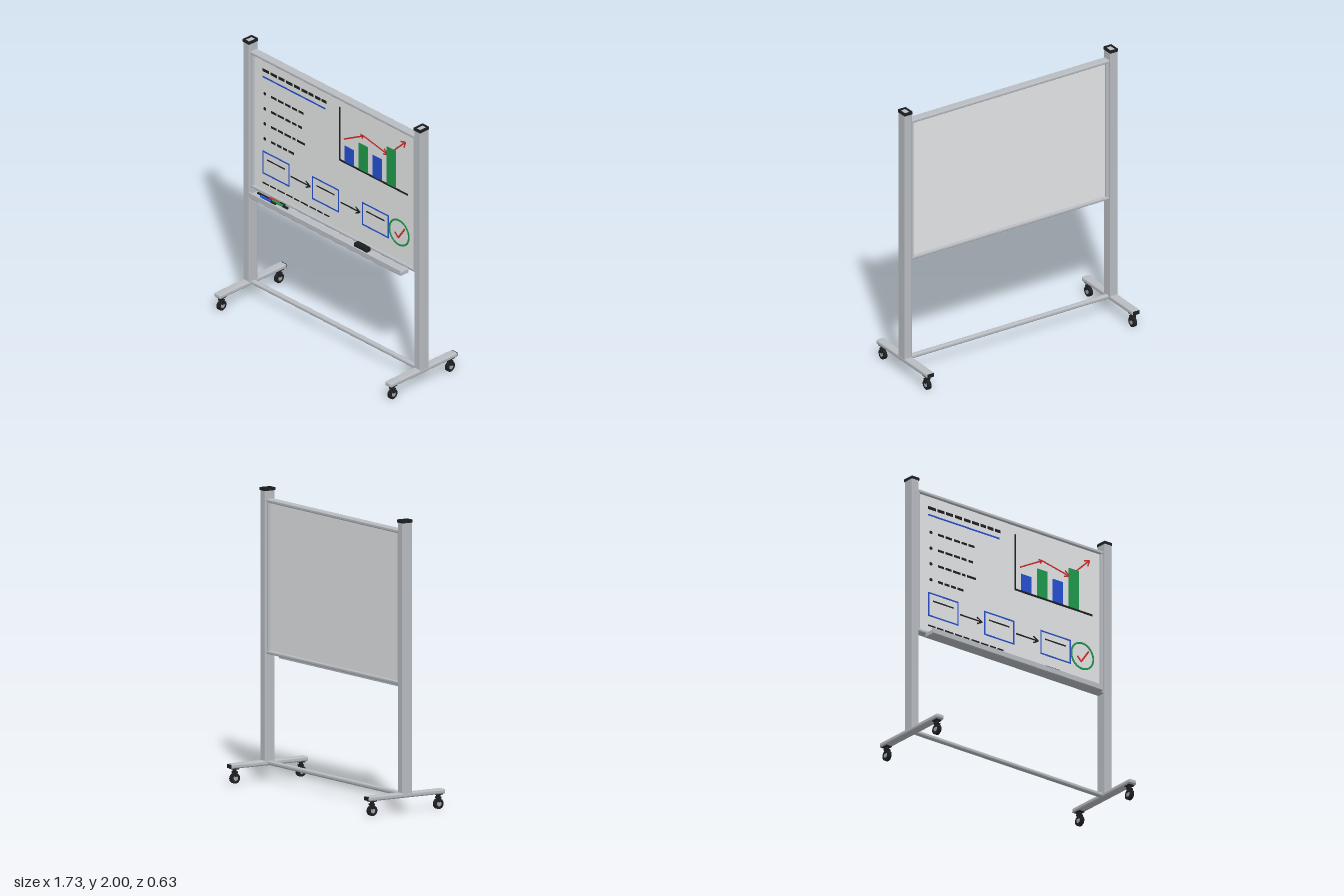
import * as THREE from 'three';
import { RoundedBoxGeometry } from 'three/addons/geometries/RoundedBoxGeometry.js';

const paint = (name, color) => {
  const m = new THREE.MeshStandardMaterial({ color });
  m.name = name;
  return m;
};

export function createModel() {
  const metal = paint('brushed aluminium', 0xb9bdc2);
  const white = paint('board white', 0xeaeced);
  const black = paint('black plastic', 0x1e1f21);
  const blue = paint('blue ink', 0x2450d4);
  const green = paint('green ink', 0x1f9a4b);
  const red = paint('red ink', 0xd42a2a);
  const hubGrey = paint('hub grey', 0xa3a6aa);

  const model = new THREE.Group();
  model.name = 'mobileWhiteboard';

  const group = (name, parent = model) => {
    const g = new THREE.Group();
    g.name = name;
    parent.add(g);
    return g;
  };
  const add = (parent, name, geo, mat, x = 0, y = 0, z = 0) => {
    const m = new THREE.Mesh(geo, mat);
    m.name = name;
    m.position.set(x, y, z);
    parent.add(m);
    return m;
  };
  const box = (w, h, d) => new THREE.BoxGeometry(w, h, d);
  const round = (w, h, d, r) => new RoundedBoxGeometry(w, h, d, 3, r);
  const rod = (r, len, n = 24) => new THREE.CylinderGeometry(r, r, len, n).rotateZ(Math.PI / 2);

  // Hollow cap collar for the top of each post
  const rect = (path, w, h) => {
    path.moveTo(-w, -h);
    path.lineTo(w, -h);
    path.lineTo(w, h);
    path.lineTo(-w, h);
    path.closePath();
    return path;
  };
  const collar = rect(new THREE.Shape(), 0.032, 0.042);
  collar.holes.push(rect(new THREE.Path(), 0.023, 0.033));
  const collarGeo = new THREE.ExtrudeGeometry(collar, { depth: 0.02, bevelEnabled: false }).rotateX(-Math.PI / 2);

  // Posts, feet and casters, one set per side
  for (const s of [-1, 1]) {
    const side = group(s > 0 ? 'leftStand' : 'rightStand');
    side.position.x = s * 0.832;
    add(side, 'post', round(0.06, 1.868, 0.08, 0.006), metal, 0, 1.056, 0);
    add(side, 'postCap', collarGeo, black, 0, 1.98, 0);
    add(side, 'foot', round(0.062, 0.034, 0.624, 0.012), metal, 0, 0.122, 0);
    add(side, 'footEndCap', box(0.05, 0.026, 0.006), black, 0, 0.122, -0.311);
    for (const z of [-0.267, 0.27]) {
      const caster = group('caster', side);
      caster.position.z = z;
      add(caster, 'casterPlate', box(0.044, 0.008, 0.05), black, 0, 0.103, 0);
      add(caster, 'casterStem', new THREE.CylinderGeometry(0.014, 0.014, 0.025, 20), black, 0, 0.09, 0);
      add(caster, 'forkCrown', box(0.04, 0.01, 0.026), black, 0, 0.08, 0);
      for (const a of [-1, 1])
        add(caster, 'forkArm', box(0.005, 0.03, 0.018), black, a * 0.0165, 0.064, 0);
      add(caster, 'wheel', rod(0.036, 0.024, 32), black, 0, 0.037, 0);
      add(caster, 'wheelHub', rod(0.017, 0.03), hubGrey, 0, 0.037, 0);
    }
  }
  add(model, 'crossbar', round(1.62, 0.03, 0.036, 0.012), metal, 0, 0.123, 0);

  // Board panel and its frame
  add(model, 'boardPanel', box(1.58, 1.03, 0.024), white, 0, 1.397, 0);
  const frame = group('boardFrame');
  for (const y of [1.914, 0.88]) add(frame, 'frameRail', round(1.61, 0.024, 0.06, 0.008), metal, 0, y, 0);
  for (const x of [-0.791, 0.791]) add(frame, 'frameStile', round(0.024, 1.05, 0.056, 0.008), metal, x, 1.397, 0);

  // Tray with an upturned lip, profile drawn in z and y
  const tray = new THREE.Shape();
  [[0.028, 0.842], [0.1, 0.842], [0.106, 0.848], [0.106, 0.884], [0.1, 0.887], [0.099, 0.868], [0.028, 0.868]]
    .forEach(([z, y], i) => (i ? tray.lineTo(z, y) : tray.moveTo(z, y)));
  const trayGeo = new THREE.ExtrudeGeometry(tray, { depth: 1.47, bevelEnabled: false })
    .rotateY(-Math.PI / 2).translate(0.735, 0, 0);
  add(model, 'penTray', trayGeo, metal);

  // Eraser and markers on the tray
  add(model, 'eraser', round(0.122, 0.034, 0.04, 0.005), black, 0.323, 0.885, 0.064);
  const pens = [[black, -0.7, 0.055, 0.878], [blue, -0.655, 0.072, 0.878], [red, -0.585, 0.056, 0.888], [green, -0.545, 0.066, 0.886]];
  for (const [ink, x, z, y] of pens) {
    const pen = group('marker');
    pen.position.set(x, y, z);
    add(pen, 'markerBarrel', rod(0.0085, 0.105, 16), ink, 0.0525);
    add(pen, 'markerCap', rod(0.0095, 0.042, 16), black, 0.124);
  }

  // Thin plates drawn on the front of the board
  const art = group('boardDrawing');
  art.position.z = 0.0125;
  const stroke = (name, mat, x1, y1, x2, y2, w = 0.01, d = 0.004) => {
    const len = Math.hypot(x2 - x1, y2 - y1);
    const m = add(art, name, box(len, w, d), mat, (x1 + x2) / 2, (y1 + y2) / 2, 0);
    m.rotation.z = Math.atan2(y2 - y1, x2 - x1);
  };
  const arrow = (name, mat, x1, y1, x2, y2, head = 0.05) => {
    stroke(name, mat, x1, y1, x2, y2);
    const a = Math.atan2(y2 - y1, x2 - x1);
    for (const t of [-0.5, 0.5])
      stroke(name + 'Head', mat, x2, y2, x2 - head * Math.cos(a + t), y2 - head * Math.sin(a + t));
  };
  const dashes = (name, x, y, w, lengths, gap = 0.016) => {
    for (const len of lengths) {
      stroke(name, black, x, y, x + len, y, w);
      x += len + gap;
    }
  };

  // Heading and bullet list
  dashes('headingDash', -0.7, 1.82, 0.021, [0.064, 0.06, 0.058, 0.062, 0.055, 0.056, 0.045, 0.05, 0.045]);
  stroke('headingUnderline', blue, -0.7, 1.767, -0.087, 1.767, 0.011);
  const rows = [[0.052, 0.054, 0.052, 0.045, 0.05], [0.05, 0.058, 0.048, 0.044, 0.038],
    [0.052, 0.048, 0.062, 0.028, 0.076], [0.044, 0.04, 0.04, 0.05]];
  rows.forEach((row, i) => {
    const y = 1.641 - i * 0.117;
    add(art, 'bullet', new THREE.CylinderGeometry(0.012, 0.012, 0.004, 20).rotateX(Math.PI / 2), black, -0.677, y, 0);
    dashes('listDash', -0.617, y, 0.016, row);
  });
  dashes('noteDash', -0.7, 0.945, 0.01, [0.06, 0.055, 0.07, 0.06, 0.05, 0.07, 0.06, 0.05, 0.05], 0.0155);

  // Bar chart with a trend line
  stroke('chartAxisY', black, 0.052, 1.425, 0.052, 1.84, 0.011);
  stroke('chartAxisX', black, 0.047, 1.43, 0.717, 1.43, 0.014);
  [[0.145, 1.56, blue], [0.282, 1.64, green], [0.418, 1.602, blue], [0.556, 1.724, green]].forEach(([x, top, mat]) =>
    add(art, 'chartBar', box(0.088, top - 1.437, 0.008), mat, x, (top + 1.437) / 2, 0));
  const trend = [[0.093, 1.607], [0.283, 1.71], [0.52, 1.664], [0.692, 1.83]];
  for (let i = 0; i < 3; i++) arrow('trendArrow', red, ...trend[i], ...trend[i + 1], i ? 0.048 : 0.03);

  // Flow chart boxes, arrows and the check mark
  for (const x of [-0.569, -0.087, 0.399]) {
    for (const s of [-1, 1]) {
      stroke('flowBoxEdge', blue, x - 0.131, 1.104 + s * 0.084, x + 0.131, 1.104 + s * 0.084);
      stroke('flowBoxEdge', blue, x + s * 0.126, 1.02, x + s * 0.126, 1.188);
    }
    stroke('flowLabel', black, x - 0.088, 1.135, x + 0.088, 1.135, 0.009);
  }
  arrow('flowArrow', black, -0.426, 1.103, -0.235, 1.103);
  arrow('flowArrow', black, 0.06, 1.103, 0.25, 1.103);
  const ring = new THREE.Shape().absarc(0.63, 1.103, 0.101, 0, Math.PI * 2);
  ring.holes.push(new THREE.Path().absarc(0.63, 1.103, 0.088, 0, Math.PI * 2));
  add(art, 'checkRing', new THREE.ExtrudeGeometry(ring, { depth: 0.004, bevelEnabled: false, curveSegments: 32 }), green, 0, 0, -0.001);
  stroke('checkMark', red, 0.588, 1.092, 0.622, 1.06, 0.012);
  stroke('checkMark', red, 0.62, 1.058, 0.685, 1.152, 0.012);

  return model;
}
